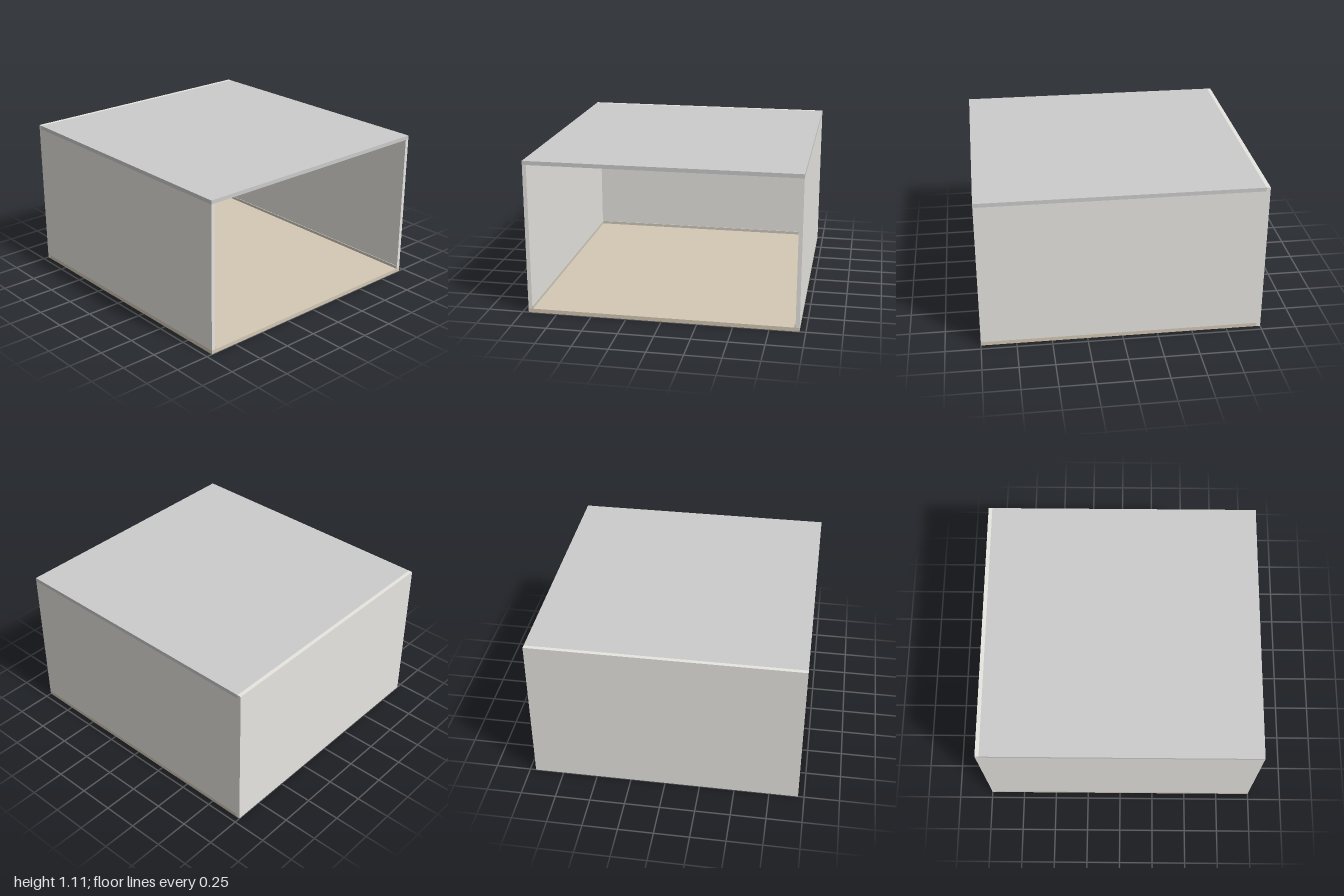
import * as THREE from 'three';

const W = 1.914, H = 1.107, D = 2, T = 0.028; // overall size and wall thickness
const mat = (color) => new THREE.MeshStandardMaterial({ color });

export function createModel() {
  const model = new THREE.Group();
  const wallMat = mat(0xe6e5e0), ceilingMat = mat(0xbcbcbc), floorMat = mat(0xd4c8b4);
  const skirtingMat = mat(0xcfcabd), blackMat = mat(0x1c1c1c);

  const box = (name, w, h, d, x, y, z, material, parent = model) => {
    const mesh = new THREE.Mesh(new THREE.BoxGeometry(w, h, d), material);
    mesh.name = name;
    mesh.position.set(x, y, z);
    parent.add(mesh);
    return mesh;
  };

  // Room shell, open at the front
  const midZ = T / 2, shellD = D - T, innerW = W - 2 * T, innerH = H - 2 * T;
  box('floor', W, T, shellD, 0, T / 2, midZ, floorMat);
  box('ceiling', W, T, shellD, 0, H - T / 2, midZ, ceilingMat);
  box('backWall', W, H, T, 0, H / 2, -D / 2 + T / 2, wallMat);
  for (const [side, s] of [['left', 1], ['right', -1]]) {
    box(side + 'Wall', T, innerH, shellD, s * (W - T) / 2, H / 2, midZ, wallMat);
  }

  // Skirting boards
  const skH = 0.022, skT = 0.006;
  box('backSkirting', innerW, skH, skT, 0, T + skH / 2, -D / 2 + T + skT / 2, skirtingMat);
  for (const [side, s] of [['left', 1], ['right', -1]]) {
    box(side + 'Skirting', skT, skH, shellD - skT, s * (innerW - skT) / 2, T + skH / 2, midZ + skT / 2, skirtingMat);
  }

  // Spotlight hanging from a track, its head tilted 45 degrees toward local -z
  const trackY = 1.069, trackH = 0.014;
  const stemGeo = new THREE.CylinderGeometry(0.003, 0.003, 0.036, 8);
  const headGeo = new THREE.CylinderGeometry(0.014, 0.014, 0.04, 20);
  const spotlight = (x) => {
    const g = new THREE.Group();
    g.name = 'spotlight';
    const stem = new THREE.Mesh(stemGeo, blackMat);
    stem.name = 'stem';
    stem.position.y = -0.023;
    const head = new THREE.Mesh(headGeo, blackMat);
    head.name = 'lampHead';
    head.position.set(0, -0.055, -0.021);
    head.rotation.x = Math.PI / 4;
    g.add(stem, head);
    g.position.x = x;
    return g;
  };

  // Lighting track with evenly spaced spotlights
  const lightTrack = (name, x, z, turn, length) => {
    const g = new THREE.Group();
    g.name = name;
    box('rail', length, trackH, 0.014, 0, 0, 0, blackMat, g);
    for (let i = -2; i <= 2; i++) g.add(spotlight(i * 0.298));
    g.position.set(x, trackY, z);
    g.rotation.y = turn;
    model.add(g);
  };
  lightTrack('backLightTrack', 0, -0.71, 0, 1.486);
  lightTrack('leftLightTrack', 0.69, 0.03, -Math.PI / 2, 1.486);
  lightTrack('rightLightTrack', -0.69, 0.03, Math.PI / 2, 1.486);

  return model;
}
